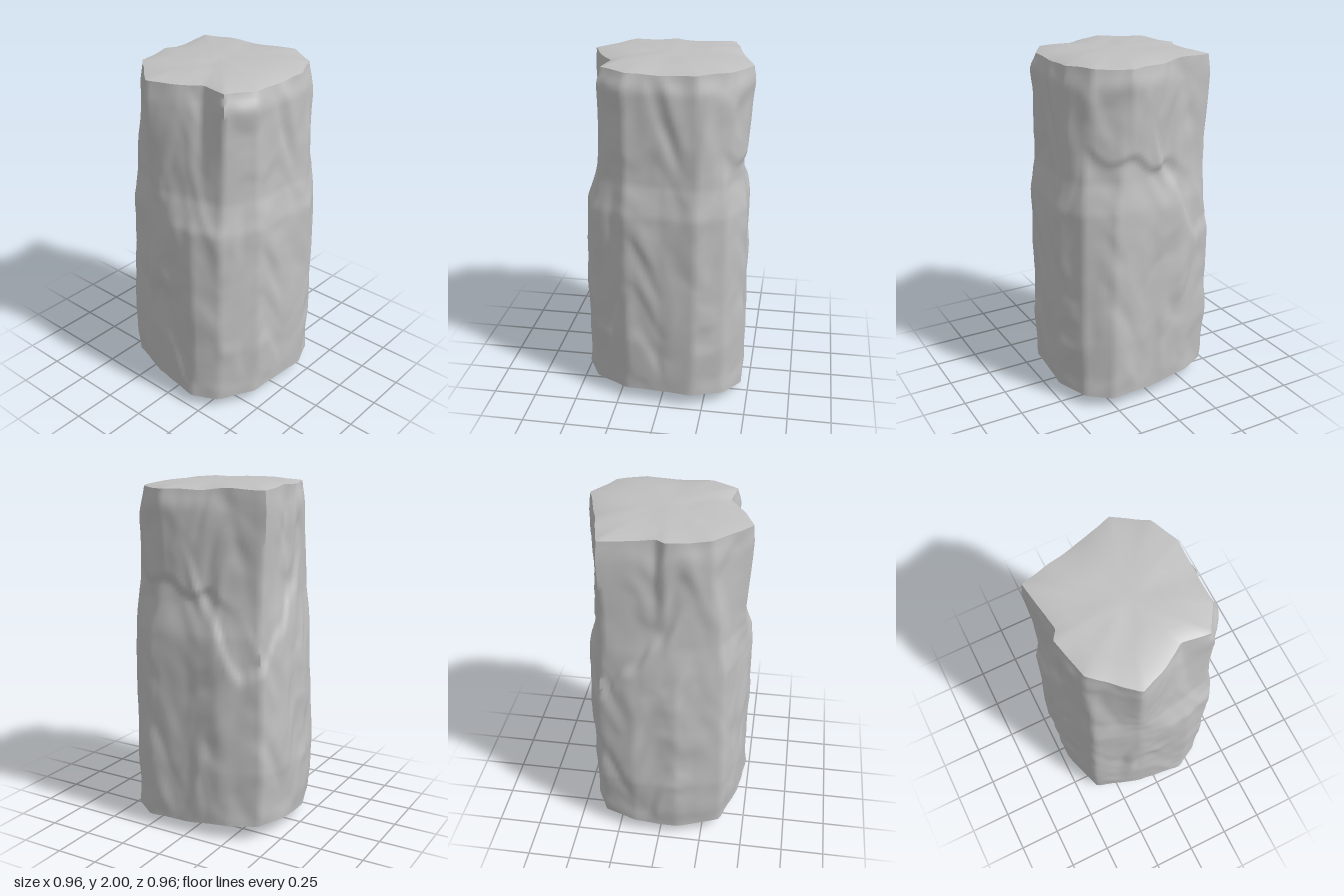
import * as THREE from 'three';
import { toCreasedNormals } from 'three/addons/utils/BufferGeometryUtils.js';

const SEG = 144;
const TAU = Math.PI * 2;

// Cross-sections: height, then x, z corner pairs from the front round through +x
const SECTIONS = [
  [0.07, 0, .46, .18, .475, .36, .40, .46, .26, .45, 0, .42, -.24, .34, -.40, .15, -.46, -.10, -.46, -.36, -.38, -.45, -.10, -.48, .18, -.40, .32, -.20, .44],
  [0.40, 0, .46, .20, .485, .37, .41, .47, .26, .455, 0, .44, -.20, .35, -.43, .15, -.48, -.10, -.48, -.37, -.39, -.46, -.10, -.48, .20, -.40, .34, -.20, .46],
  [1.18, 0, .45, .20, .47, .37, .40, .46, .24, .44, 0, .44, -.18, .35, -.42, .15, -.44, -.10, -.43, -.35, -.36, -.45, -.12, -.47, .18, -.40, .33, -.20, .45],
  [1.35, 0, .42, .20, .44, .35, .38, .45, .20, .43, 0, .42, -.18, .34, -.42, .15, -.42, -.05, -.42, -.32, -.35, -.43, -.12, -.42, .12, -.37, .32, -.20, .43],
  [1.88, .20, .425, .37, .345, .48, .15, .43, 0, .385, -.16, .325, -.42, .02, -.375, -.03, -.41, -.27, -.35, -.47, -.13, -.40, .04, -.33, .16, -.35, .32, -.20, .42],
].map(([y, ...c]) => ({
  y,
  corners: Array.from({ length: c.length / 2 }, (_, i) => {
    const x = c[i * 2], z = c[i * 2 + 1];
    return { a: (Math.atan2(x, z) + TAU) % TAU, r: Math.hypot(x, z) };
  }),
}));

const lerp = (a, b, t) => a + (b - a) * t;
const clamp = (v) => Math.min(1, Math.max(0, v));
const smooth = (v) => { const t = clamp(v); return t * t * (3 - 2 * t); };
const turn = (a) => ((a % TAU) + TAU) % TAU;

// Distance from the axis to the polygon's straight side at an angle
function polygonRadius(corners, angle) {
  for (let i = 0; i < corners.length; i++) {
    const p = corners[i], q = corners[(i + 1) % corners.length];
    const span = turn(q.a - p.a), d = turn(angle - p.a);
    if (d <= span) return p.r * q.r * Math.sin(span) / (p.r * Math.sin(d) + q.r * Math.sin(span - d));
  }
}

// Repeatable lattice noise that wraps around the pillar
function hash(a, b, seed) {
  const s = Math.sin(a * 127.1 + b * 311.7 + seed * 74.7) * 43758.5453;
  return s - Math.floor(s);
}
function noise(u, v, wrap, seed, sharp = 1) {
  const i = Math.floor(u), j = Math.floor(v);
  const ease = (t) => smooth((t - 0.5) * sharp + 0.5);
  const fu = ease(u - i), fv = ease(v - j);
  const at = (a, b) => hash(((a % wrap) + wrap) % wrap, b, seed);
  return lerp(lerp(at(i, j), at(i + 1, j), fu), lerp(at(i, j + 1), at(i + 1, j + 1), fu), fv) - 0.5;
}

// Broken-off wedge on the back left corner, narrowing downwards
function wedge(angle, y) {
  const d = angle * 180 / Math.PI - 130;
  const edge = 0.87 + (d > 0 ? d * 0.0095 : -d * 0.017) + 0.03 * Math.sin(angle * 17);
  return smooth((y - edge) / 0.1) * smooth((75 - d) / 15) * smooth((1.9 - y) / 0.5) * 0.02;
}

// Overhanging lip across the left side
function lip(angle, y) {
  const d = (angle * 180 / Math.PI - 85) / 45;
  const edge = 1.46 - 0.09 * d + 0.03 * Math.sin(angle * 11);
  return Math.max(0, 1 - d * d) * smooth((edge - y) / 0.05) * smooth((y - edge + 0.35) / 0.3) * 0.02;
}

function radius(angle, y) {
  let k = 0;
  while (k < SECTIONS.length - 2 && y > SECTIONS[k + 1].y) k++;
  const a = SECTIONS[k], b = SECTIONS[k + 1];
  let r = lerp(polygonRadius(a.corners, angle), polygonRadius(b.corners, angle), clamp((y - a.y) / (b.y - a.y)));
  // rounded upper front edge
  r -= smooth((y - 1.85) / 0.13) * (0.012 + 0.018 * Math.max(0, Math.cos(angle)));
  // chips and vertical splits, with wandering outlines
  const u = angle / TAU, fade = smooth((y - 0.07) / 0.12) * smooth((1.98 - y) / 0.1);
  const wu = 0.3 * Math.sin(y * 7 + angle * 2), wv = 0.4 * Math.sin(angle * 5) + 0.25 * Math.sin(angle * 9 + y * 3);
  r += noise(u * 15 + wu, y * 2.5 + wv, 15, 1, 1.6) * 0.022 * fade;
  r += noise(u * 28 + wu * 1.5, y * 6 + wv * 2, 28, 2, 1.6) * 0.012 * fade;
  r += noise(u * 40, y * 9 + wv, 40, 3) * 0.005;
  return r - wedge(angle, y) - lip(angle, y);
}

// Skin a stack of closed rings, listed from bottom to top
function skin(rows, point, crease) {
  const positions = [], index = [];
  rows.forEach((row, j) => {
    for (let i = 0; i < SEG; i++) {
      positions.push(...point((i / SEG) * TAU, row));
      if (j === 0) continue;
      const n = (i + 1) % SEG, p = (j - 1) * SEG, q = j * SEG;
      index.push(p + i, p + n, q + n, p + i, q + n, q + i);
    }
  });
  const geometry = new THREE.BufferGeometry();
  geometry.setAttribute('position', new THREE.Float32BufferAttribute(positions, 3));
  geometry.setIndex(index);
  return toCreasedNormals(geometry, crease);
}

const polar = (angle, r, y) => [Math.sin(angle) * r, y, Math.cos(angle) * r];
const bottomEdge = (angle) => 0.075 + 0.01 * Math.sin(angle * 3 + 1) + 0.012 * noise(angle / TAU * 20, 0, 20, 5);
const topEdge = (angle) => 1.968 - 0.008 * Math.cos(angle) + 0.014 * noise(angle / TAU * 18, 0, 18, 6);

export function createModel() {
  const group = new THREE.Group();
  const stone = new THREE.MeshStandardMaterial({ color: 0xc0c0c0 });
  stone.name = 'grey stone';
  const add = (name, geometry) => {
    const mesh = new THREE.Mesh(geometry, stone);
    mesh.name = name;
    group.add(mesh);
  };

  // Rough sides
  const steps = Array.from({ length: 91 }, (_, i) => i / 90);
  add('pillarSides', skin(steps, (angle, t) => {
    const y = lerp(bottomEdge(angle), topEdge(angle), t);
    return polar(angle, radius(angle, y), y);
  }, 1.1));

  // Gently domed broken top, from rim to middle
  const rim = [1, 0.97, 0.92, 0.84, 0.72, 0.58, 0.42, 0.25, 0.1, 0];
  add('pillarTop', skin(rim, (angle, f) => {
    const y = topEdge(angle);
    const bump = noise(Math.sin(angle) * f * 4 + 8, Math.cos(angle) * f * 4 + 8, 99, 7) * 0.012 * (1 - f);
    return polar(angle, radius(angle, y) * f, lerp(1.995, y, f ** 4) + bump);
  }, 0.6));

  // Shallow rounded underside, from middle to rim
  add('pillarBase', skin([...rim].reverse(), (angle, f) => {
    const y = bottomEdge(angle);
    const bump = noise(Math.sin(angle) * f * 5 + 8, Math.cos(angle) * f * 5 + 8, 99, 8) * 0.03 * f * (1 - f);
    return polar(angle, radius(angle, y) * f, lerp(0, y, f ** 2.6) + Math.abs(bump));
  }, 0.6));

  return group;
}
